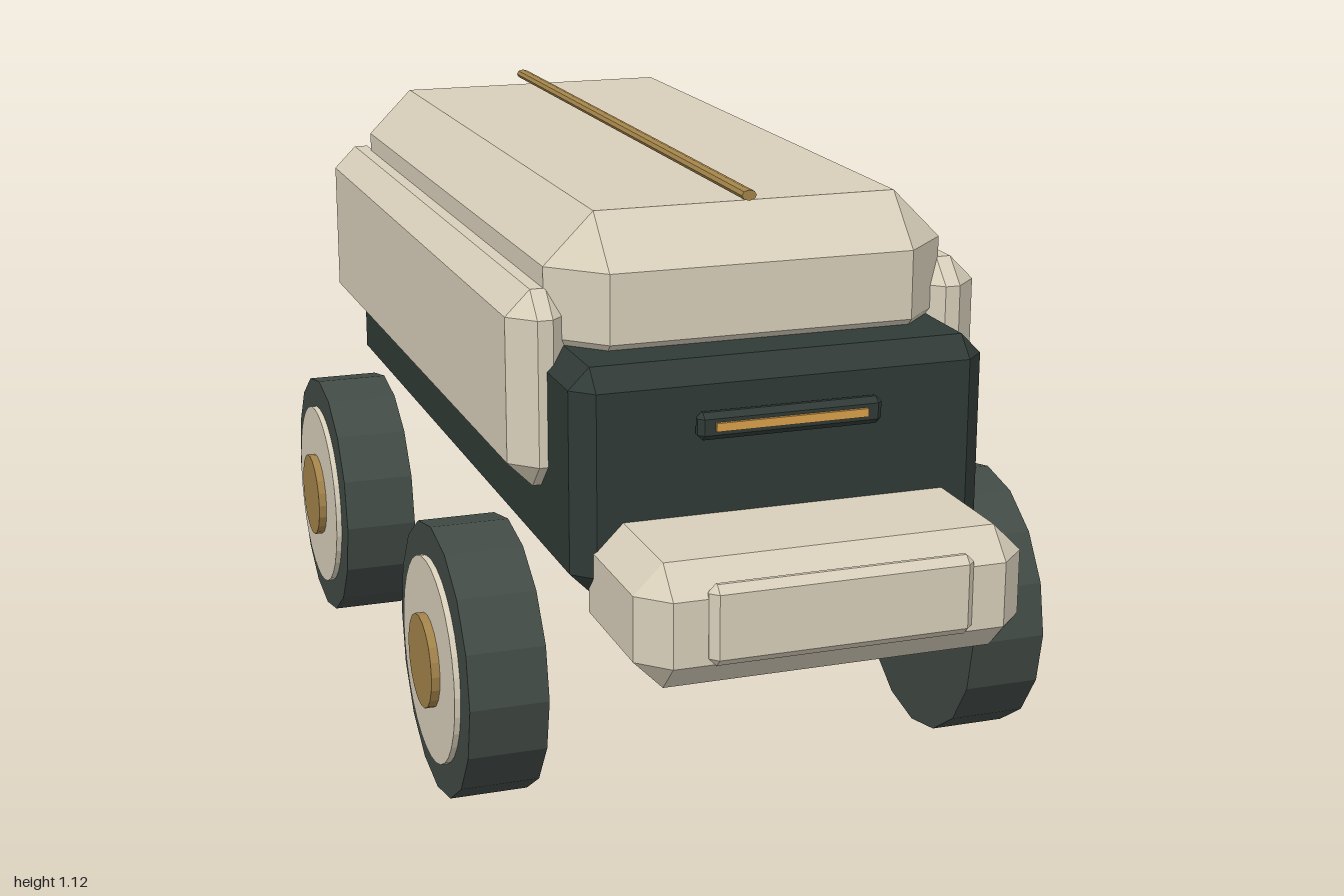
import * as THREE from 'three';
import { ConvexGeometry } from 'three/addons/geometries/ConvexGeometry.js';

const material = (name, color) => {
  const m = new THREE.MeshStandardMaterial({ color, flatShading: true });
  m.name = name;
  return m;
};

// Box with every edge cut by the chamfer c, given as min/max ranges
function chamferBox([x0, x1], [y0, y1], [z0, z1], c) {
  const half = [(x1 - x0) / 2, (y1 - y0) / 2, (z1 - z0) / 2];
  const points = [];
  for (const sx of [-1, 1]) for (const sy of [-1, 1]) for (const sz of [-1, 1]) {
    for (let axis = 0; axis < 3; axis++) {
      const inset = half.map((h, i) => (i === axis ? h : h - c));
      points.push(new THREE.Vector3(sx * inset[0], sy * inset[1], sz * inset[2]));
    }
  }
  return new ConvexGeometry(points).translate((x0 + x1) / 2, (y0 + y1) / 2, (z0 + z1) / 2);
}

// Disc whose axis runs along x, from x0 to x1
function disc(radius, x0, x1, sides) {
  return new THREE.CylinderGeometry(radius, radius, x1 - x0, sides)
    .rotateZ(-Math.PI / 2).translate((x0 + x1) / 2, 0, 0);
}

export function createModel() {
  const model = new THREE.Group();
  model.name = 'rover';

  const cream = material('cream', 0xd8cfba);
  const darkGreen = material('darkGreen', 0x303a36);
  const rubber = material('rubber', 0x414a45);
  const bronze = material('bronze', 0xa3834a);
  const amber = material('amber', 0xd8a04a);

  const add = (name, geometry, mat, parent = model) => {
    const mesh = new THREE.Mesh(geometry, mat);
    mesh.name = name;
    parent.add(mesh);
    return mesh;
  };

  // Body
  add('chassis', chamferBox([-0.383, 0.383], [0.465, 0.87], [-0.95, 0.725], 0.038), darkGreen);
  add('upperBody', chamferBox([-0.375, 0.375], [0.79, 1.1], [-0.93, 0.61], 0.092), cream);
  for (const side of [-1, 1]) {
    const xs = side > 0 ? [0.325, 0.445] : [-0.445, -0.325];
    add(side > 0 ? 'leftSidePod' : 'rightSidePod',
      chamferBox(xs, [0.613, 0.97], [-0.942, 0.565], 0.046), cream);
  }

  // Roof rail, slightly flattened
  add('roofRail', new THREE.CylinderGeometry(0.014, 0.014, 1.445, 8)
    .rotateX(Math.PI / 2).scale(1, 0.7, 1).translate(0, 1.111, -0.19), bronze);

  // Front bumper and its raised plate
  add('bumper', chamferBox([-0.35, 0.35], [0.38, 0.6], [0.64, 0.985], 0.052), cream);
  add('bumperPlate', chamferBox([-0.237, 0.237], [0.43, 0.572], [0.965, 1], 0.014), cream);

  // Front light slot
  add('lightFrame', chamferBox([-0.17, 0.17], [0.738, 0.787], [0.722, 0.75], 0.01), darkGreen);
  add('lightStrip', new THREE.BoxGeometry(0.28, 0.015, 0.008).translate(0, 0.763, 0.752), amber);

  // Rear box
  add('rearBox', chamferBox([-0.102, 0.102], [0.53, 0.7], [-1, -0.945], 0.014), darkGreen);

  // Wheels
  for (const [end, z] of [['front', 0.395], ['rear', -0.613]]) {
    for (const side of [-1, 1]) {
      const wheel = new THREE.Group();
      wheel.name = end + (side > 0 ? 'LeftWheel' : 'RightWheel');
      wheel.position.set(0, 0.256, z);
      if (side < 0) wheel.rotation.y = Math.PI;
      add('tyre', disc(0.256, 0.411, 0.556, 16), rubber, wheel);
      add('rim', disc(0.193, 0.53, 0.567, 32), cream, wheel);
      add('hub', disc(0.088, 0.55, 0.583, 20), bronze, wheel);
      model.add(wheel);
    }
  }

  // Round side port with a handle
  const port = new THREE.Group();
  port.name = 'sidePort';
  port.position.set(0, 0.755, -0.19);
  add('portRing', disc(0.134, 0.43, 0.474, 16), rubber, port);
  add('portLens', disc(0.092, 0.46, 0.482, 20), amber, port);
  model.add(port);
  add('portHandle', chamferBox([0.49, 0.524], [0.767, 0.839], [-0.298, -0.084], 0.012), cream);

  return model;
}
